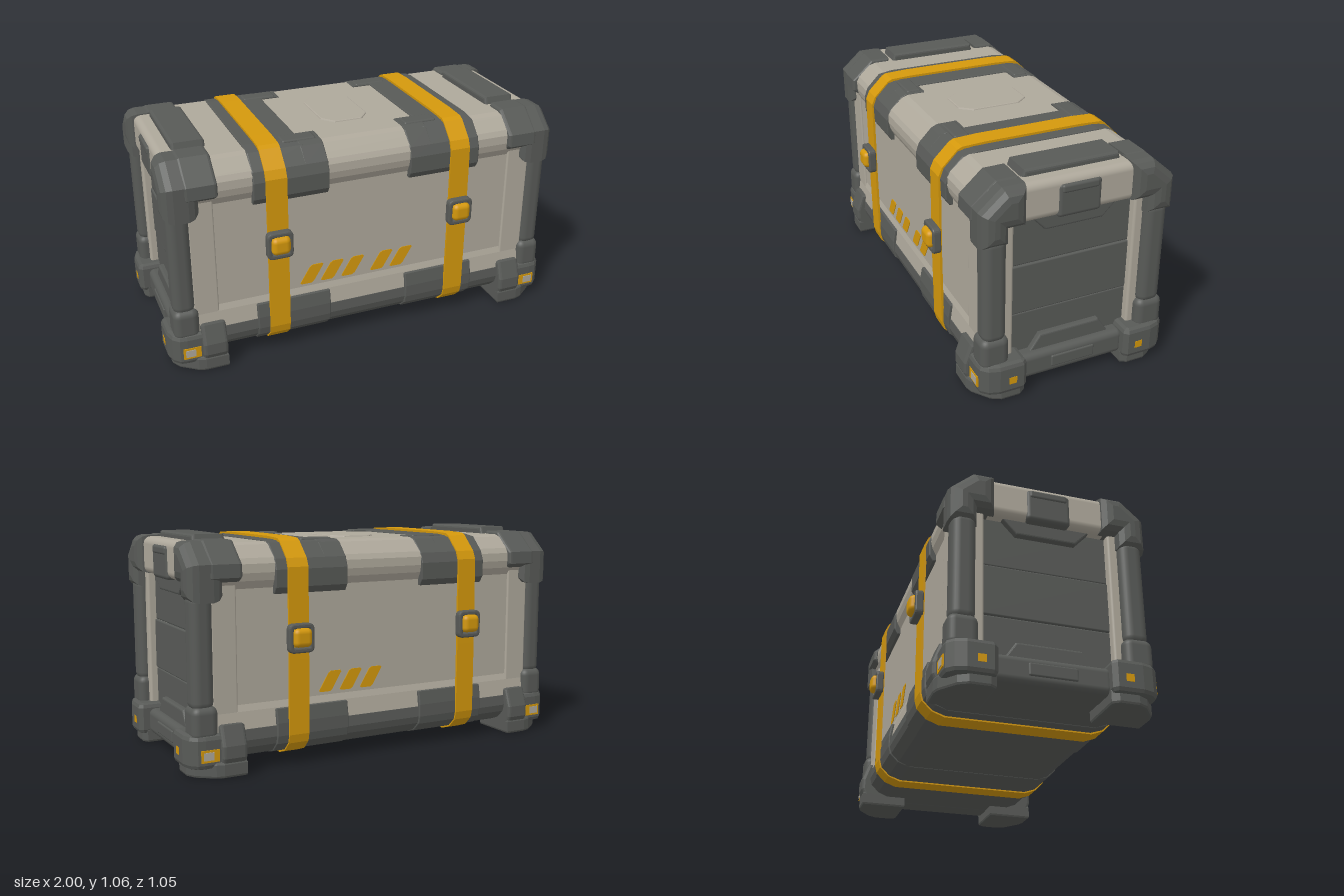
import * as THREE from 'three';
import { RoundedBoxGeometry } from 'three/addons/geometries/RoundedBoxGeometry.js';

const mat = (name, color) => {
  const m = new THREE.MeshStandardMaterial({ color });
  m.name = name;
  return m;
};

export function createModel() {
  const root = new THREE.Group();
  root.name = 'cargoCrate';
  const light = mat('warmGreyShell', 0xaea89b);
  const dark = mat('darkGreyArmour', 0x585a57);
  const yellow = mat('amberStrap', 0xd4980c);

  const add = (name, geo, material, parent = root) => {
    const m = new THREE.Mesh(geo, material);
    m.name = name;
    parent.add(m);
    return m;
  };
  // Rounded box given by its limits
  const box = (name, material, x0, x1, y0, y1, z0, z1, r = 0.015, parent = root) => {
    const w = Math.abs(x1 - x0), h = y1 - y0, d = Math.abs(z1 - z0);
    const geo = r ? new RoundedBoxGeometry(w, h, d, 3, Math.min(r, w / 2.1, h / 2.1, d / 2.1))
      : new THREE.BoxGeometry(w, h, d);
    const m = add(name, geo, material, parent);
    m.position.set((x0 + x1) / 2, (y0 + y1) / 2, (z0 + z1) / 2);
    return m;
  };
  const vecs = (pts, sz = 1) => pts.map(([z, y]) => new THREE.Vector2(-z * sz, y));
  const mirror = (half) => [...half, ...half.map(([z, y]) => [-z, y]).reverse()];
  // Cross-section of [z, y] points swept along x
  const sweep = (name, material, pts, x0, x1, bevel = 0, sz = 1, hole = null) => {
    const shape = new THREE.Shape(vecs(pts, sz));
    if (hole) shape.holes.push(new THREE.Path(vecs(hole, sz)));
    const a = Math.min(x0, x1), b = Math.max(x0, x1);
    const geo = new THREE.ExtrudeGeometry(shape, {
      depth: b - a - 2 * bevel, bevelEnabled: bevel > 0, bevelSize: bevel,
      bevelThickness: bevel, bevelOffset: -bevel, bevelSegments: 3,
    });
    geo.rotateY(Math.PI / 2);
    geo.translate(a + bevel, 0, 0);
    return add(name, geo, material);
  };
  // Plan of [x, z] points raised from y0 to y1
  const raise = (name, material, pts, y0, y1, bevel, sx = 1, sz = 1) => {
    const geo = new THREE.ExtrudeGeometry(
      new THREE.Shape(pts.map(([x, z]) => new THREE.Vector2(x * sx, -z * sz))),
      { depth: y1 - y0 - 2 * bevel, bevelSize: bevel, bevelOffset: -bevel, bevelThickness: bevel, bevelSegments: 2 });
    geo.rotateX(-Math.PI / 2);
    geo.translate(0, y0 + bevel, 0);
    return add(name, geo, material);
  };

  // Shell with recessed long sides, and the dark tray below
  sweep('shell', light, mirror([
    [0.40, 0.15], [0.442, 0.2], [0.43, 0.28], [0.42, 0.31], [0.42, 0.83], [0.438, 0.865],
    [0.446, 0.9], [0.444, 0.94], [0.43, 0.965], [0.37, 1.02], [0.34, 1.03],
  ]), -0.88, 0.88);
  sweep('tray', dark, mirror([
    [0.35, 0.055], [0.40, 0.075], [0.44, 0.115], [0.45, 0.15], [0.445, 0.2],
  ]), -0.87, 0.87, 0.005);

  // Raised octagon on the lid
  raise('lidPlate', light, mirror([[0.07, 0.18], [0.12, 0.12], [0.12, -0.12], [0.07, -0.18]]), 1.02, 1.036, 0.006);

  // Strap loop, outer and inner outline
  const outer = mirror([[0.35, 0.043], [0.41, 0.065], [0.455, 0.11], [0.465, 0.15], [0.467, 0.5],
    [0.464, 0.92], [0.446, 0.96], [0.372, 1.033], [0.35, 1.044], [0.24, 1.049]]);
  const inner = outer.map(([z, y]) => [z * 0.975, 0.54 + (y - 0.54) * 0.978]);

  // Buckle frame outline
  const rounded = (s, w, h, r) => {
    s.moveTo(-w + r, -h);
    s.lineTo(w - r, -h); s.quadraticCurveTo(w, -h, w, -h + r);
    s.lineTo(w, h - r); s.quadraticCurveTo(w, h, w - r, h);
    s.lineTo(-w + r, h); s.quadraticCurveTo(-w, h, -w, h - r);
    s.lineTo(-w, -h + r); s.quadraticCurveTo(-w, -h, -w + r, -h);
    return s;
  };
  const frame = rounded(new THREE.Shape(), 0.056, 0.06, 0.02);
  frame.holes.push(rounded(new THREE.Path(), 0.047, 0.05, 0.012));
  const frameGeo = new THREE.ExtrudeGeometry(frame, {
    depth: 0.026, bevelSize: 0.007, bevelThickness: 0.007, bevelSegments: 2, curveSegments: 5 });

  for (const sx of [-1, 1]) {
    // Clamp bands under each strap
    sweep('upperBand', dark, mirror([[0.40, 0.80], [0.435, 0.8], [0.454, 0.83], [0.456, 0.91],
      [0.438, 0.958], [0.37, 1.026], [0.3, 1.037]]), sx * 0.30, sx * 0.57, 0.006);
    sweep('lowerBand', dark, mirror([[0.345, 0.05], [0.405, 0.07], [0.448, 0.112], [0.457, 0.15], [0.457, 0.21],
      [0.445, 0.275], [0.40, 0.28]]), sx * 0.20, sx * 0.57, 0.006);
    sweep('strap', yellow, outer, sx * 0.463 - 0.05, sx * 0.463 + 0.05, 0, 1, inner);

    // End: recessed dark panel, light rails and top beam
    box('endPanelLower', dark, sx * 0.8, sx * 0.888, 0.15, 0.375, -0.3, 0.3, 0.008);
    box('endPanelMiddle', dark, sx * 0.8, sx * 0.892, 0.375, 0.62, -0.3, 0.3, 0.008);
    box('endPanelUpper', dark, sx * 0.8, sx * 0.886, 0.62, 0.87, -0.3, 0.3, 0.008);
    sweep('upperLip', dark, mirror([[0.14, 0.785], [0.21, 0.86]]), sx * 0.87, sx * 0.915, 0.01);
    sweep('lowerLip', dark, mirror([[0.21, 0.16], [0.15, 0.25]]), sx * 0.87, sx * 0.915, 0.01);
    box('endBeam', light, sx * 0.84, sx * 0.95, 0.855, 1.035, -0.31, 0.31, 0.035);
    box('endGrip', dark, sx * 0.86, sx * 0.957, 0.85, 1.01, -0.105, 0.105, 0.02);
    box('endGripLip', dark, sx * 0.86, sx * 0.962, 0.965, 1.005, -0.09, 0.09, 0.012);
    sweep('topHandle', dark, mirror([[0.245, 1.0], [0.225, 1.064]]), sx * 0.72, sx * 0.877, 0.014);
    box('bottomBeam', dark, sx * 0.8, sx * 0.95, 0.05, 0.175, -0.27, 0.27, 0.03);
    box('bottomBeamPlate', dark, sx * 0.93, sx * 0.956, 0.085, 0.145, -0.11, 0.11, 0.008);

    for (const sz of [-1, 1]) {
      // Inner brackets of the clamp bands
      sweep('bandBracket', dark, [[0.25, 1.0], [0.25, 1.035], [0.345, 1.034], [0.375, 1.022],
        [0.438, 0.958], [0.456, 0.91], [0.454, 0.83], [0.435, 0.8], [0.40, 0.8], [0.40, 0.92]],
      sx * 0.205, sx * 0.32, 0.005, sz);
      box('bandClip', dark, sx * 0.225, sx * 0.39, 1.0, 1.041, sz * 0.26, sz * 0.335, 0.01);

      // Light side border, corner post, rail and top cap with a broad outer bevel
      box('sideBorder', light, sx * 0.75, sx * 0.87, 0.25, 0.87, sz * 0.36, sz * 0.43, 0.008);
      box('endRail', light, sx * 0.82, sx * 0.925, 0.18, 0.87, sz * 0.293, sz * 0.37, 0.012);
      box('cornerPost', dark, sx * 0.86, sx * 0.965, 0.3, 0.82, sz * 0.335, sz * 0.447, 0.04);
      sweep('topCap', dark, [[0.25, 0.855], [0.25, 1.04], [0.355, 1.04], [0.463, 0.945],
        [0.463, 0.78], [0.33, 0.78], [0.33, 0.855]], sx * 0.81, sx * 0.985, 0.055, sz);
      sweep('topCapArm', dark, [[0.255, 0.96], [0.255, 1.045], [0.355, 1.044], [0.465, 0.945],
        [0.468, 0.885], [0.44, 0.865], [0.38, 0.88]], sx * 0.73, sx * 0.885, 0.016, sz);

      // Foot with cut corner, rounded block, taller inner arm and the collar of the post
      raise('footPad', dark, [[0.73, 0.25], [0.96, 0.25], [0.98, 0.28], [0.98, 0.37], [0.955, 0.415],
        [0.875, 0.475], [0.84, 0.485], [0.73, 0.485]], 0, 0.075, 0.012, sx, sz);
      raise('footBlock', dark, [[0.82, 0.25], [0.98, 0.25], [1.0, 0.27], [1.0, 0.385], [0.985, 0.435],
        [0.955, 0.465], [0.92, 0.47], [0.82, 0.47]], 0.045, 0.2, 0.022, sx, sz);
      sweep('footArm', dark, [[0.25, 0.04], [0.47, 0.04], [0.492, 0.09], [0.492, 0.145], [0.46, 0.235],
        [0.40, 0.235], [0.25, 0.18]], sx * 0.73, sx * 0.85, 0.016, sz);
      box('postCollar', dark, sx * 0.85, sx * 0.972, 0.17, 0.325, sz * 0.325, sz * 0.46, 0.035);

      // Marker lamps on the foot block
      box('lampFrame', yellow, sx * 0.858, sx * 0.942, 0.08, 0.136, sz * 0.465, sz * 0.473, 0);
      box('lampGlass', light, sx * 0.884, sx * 0.932, 0.09, 0.126, sz * 0.470, sz * 0.476, 0);
      box('sideLamp', yellow, sx * 0.996, sx * 1.0015, 0.095, 0.13, sz * 0.305, sz * 0.342, 0);

      // Buckle with a bulging tongue
      const buckle = new THREE.Group();
      buckle.name = 'buckle';
      buckle.position.set(sx * 0.463, 0.6, sz * 0.468);
      if (sz < 0) buckle.rotation.y = Math.PI;
      root.add(buckle);
      add('buckleFrame', frameGeo, dark, buckle);
      box('buckleTongue', yellow, -0.046, 0.046, -0.04, 0.048, -0.01, 0.056, 0.025, buckle);
    }
  }

  // Slanted hazard stripes, five in front and three behind
  const stripe = new THREE.Shape([[0, 0.005], [0.008, 0], [0.058, 0], [0.07, 0.01], [0.118, 0.09],
    [0.112, 0.097], [0.064, 0.097], [0.05, 0.088]].map(([x, y]) => new THREE.Vector2(x, y)));
  const stripeGeo = new THREE.ExtrudeGeometry(stripe, { depth: 0.006, bevelEnabled: false });
  [[1, [-0.345, -0.24, -0.133, 0.02, 0.125]], [-1, [-0.34, -0.23, -0.12]]].forEach(([side, xs]) => {
    const g = new THREE.Group();
    g.name = side > 0 ? 'frontStripes' : 'backStripes';
    if (side < 0) g.rotation.y = Math.PI;
    root.add(g);
    for (const x of xs) add('stripe', stripeGeo, yellow, g).position.set(x, 0.325, 0.417);
  });

  return root;
}
